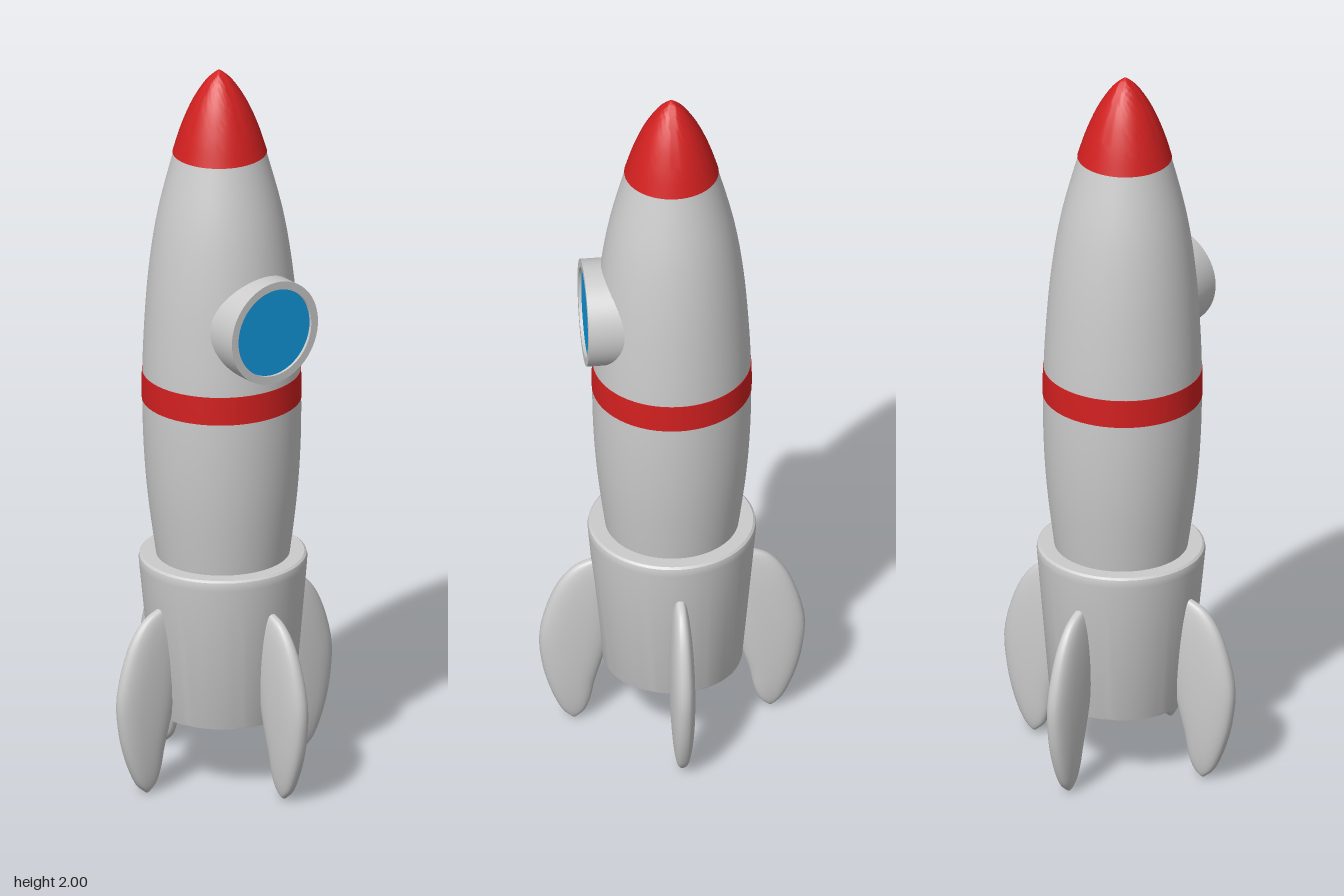
import * as THREE from 'three';
import { toCreasedNormals } from 'three/addons/utils/BufferGeometryUtils.js';

const mat = (color) => new THREE.MeshStandardMaterial({ color });
const grey = mat(0xcccccc), red = mat(0xd32020), blue = mat(0x1199dd);
const vec = (list) => list.map(([x, y]) => new THREE.Vector2(x, y));
const turned = (points, segments = 64) =>
  toCreasedNormals(new THREE.LatheGeometry(points, segments), 0.6);

// Hull radius at a number of heights, smoothed by a spline
const hull = new THREE.SplineCurve(vec([
  [0.162, 0.54], [0.177, 0.63], [0.198, 0.8], [0.208, 0.95], [0.21, 1.1],
  [0.205, 1.25], [0.191, 1.43], [0.165, 1.6], [0.119, 1.78],
]));

// Fin: stacked rounded sections between an inner and an outer edge
function finGeometry() {
  // x = inner edge, y = height, z = outer edge
  const edges = new THREE.CatmullRomCurve3([
    [0.258, 0.004, 0.262], [0.231, 0.03, 0.29], [0.216, 0.07, 0.311], [0.205, 0.125, 0.331],
    [0.186, 0.19, 0.346], [0.165, 0.28, 0.353], [0.155, 0.38, 0.33],
    [0.155, 0.45, 0.298], [0.16, 0.495, 0.258], [0.18, 0.52, 0.2],
  ].map((p) => new THREE.Vector3(...p)));
  const rows = 40, sides = 28, pos = [], index = [];
  const round = (v) => Math.sign(v) * Math.abs(v) ** 0.8;
  for (let j = 0; j <= rows; j++) {
    const u = (1 - Math.cos((Math.PI * j) / rows)) / 2;
    const p = edges.getPoint(u);
    const v = THREE.MathUtils.clamp((p.y - 0.004) / 0.516, 0, 1);
    const t = 0.032 * (4 * v * (1 - v)) ** 0.4;
    const mid = (p.x + p.z) / 2, half = (p.z - p.x) / 2;
    for (let i = 0; i < sides; i++) {
      const a = (2 * Math.PI * i) / sides;
      pos.push(mid + half * round(Math.cos(a)), p.y, t * round(Math.sin(a)));
      if (j === rows) continue;
      const c = j * sides + i, n = j * sides + ((i + 1) % sides);
      index.push(c, c + sides, n, c + sides, n + sides, n);
    }
  }
  const g = new THREE.BufferGeometry();
  g.setAttribute('position', new THREE.Float32BufferAttribute(pos, 3));
  g.setIndex(index);
  g.computeVertexNormals();
  return g;
}

export function createModel() {
  const model = new THREE.Group();
  model.name = 'rocket';
  const add = (name, geometry, material) => {
    const mesh = new THREE.Mesh(geometry, material);
    mesh.name = name;
    model.add(mesh);
    return mesh;
  };

  // Hull, closed at both ends inside the collar and the nose
  add('hull', turned([new THREE.Vector2(0, 0.54), ...hull.getPoints(40), new THREE.Vector2(0, 1.78)]), grey);

  // Painted band round the middle
  add('band', turned(vec([[0.2, 1.07], [0.2115, 1.07], [0.2115, 1.11], [0.2105, 1.148], [0.2, 1.148]])), red);

  // Pointed nose with a small overhang
  const nose = new THREE.SplineCurve(vec([
    [0.125, 1.767], [0.104, 1.835], [0.075, 1.905], [0.04, 1.963], [0.012, 1.992], [0, 2]]));
  add('noseCone', turned([new THREE.Vector2(0, 1.767), ...nose.getPoints(24)]), red);

  // Tapered collar at the tail
  add('tailCollar', turned(vec([
    [0, 0.19], [0.179, 0.19], [0.184, 0.192], [0.186, 0.198], [0.222, 0.6],
    [0.223, 0.614], [0.221, 0.623], [0.215, 0.628], [0.165, 0.628],
  ])), grey);

  // Porthole frame and glass on the front
  const frame = turned(vec([[0.143, 0.1], [0.143, 0.235], [0.121, 0.235], [0.121, 0.2]]));
  add('windowFrame', frame.rotateX(Math.PI / 2), grey).position.y = 1.323;
  add('windowGlass', new THREE.CircleGeometry(0.122, 64), blue).position.set(0, 1.323, 0.227);

  // Four fins
  const fin = finGeometry();
  for (let k = 0; k < 4; k++) add('fin' + (k + 1), fin, grey).rotation.y = (k * Math.PI) / 2;

  // The whole rocket leans very slightly to its right
  model.rotation.z = 0.0095;
  return model;
}
